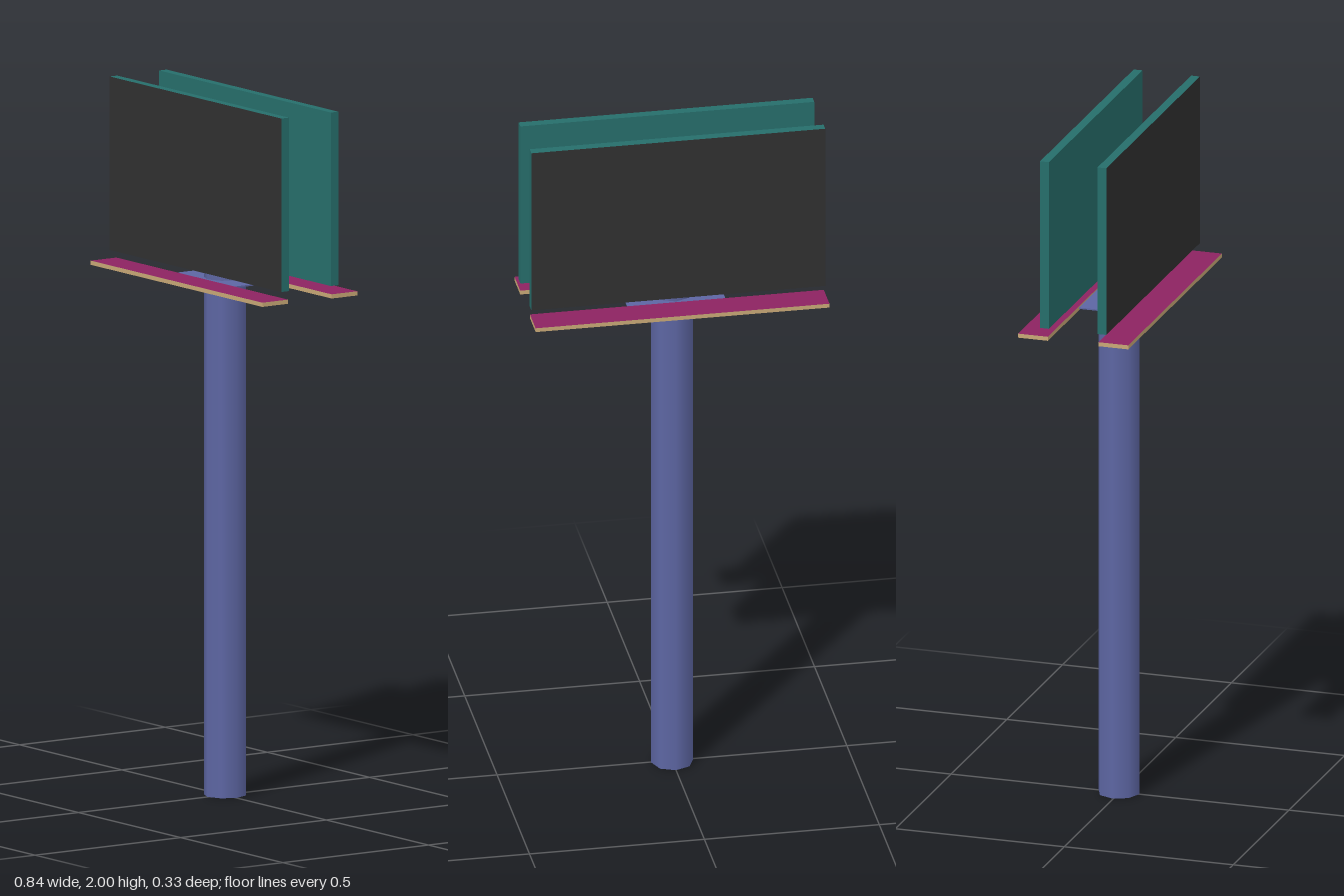
import * as THREE from 'three';

const mat = (name, color, side = THREE.FrontSide) => {
  const m = new THREE.MeshStandardMaterial({ color, side });
  m.name = name;
  return m;
};

export function createModel() {
  const steel = mat('blueSteel', 0x5d66a3, THREE.DoubleSide);
  const teal = mat('tealFrame', 0x266e6b);
  const black = mat('blackPanel', 0x303030);
  const magenta = mat('magentaDeck', 0x8d2361);
  const tan = mat('tanEdge', 0xc8a876);

  const model = new THREE.Group();
  model.name = 'billboard';

  const add = (parent, name, geometry, material, x, y, z) => {
    const mesh = new THREE.Mesh(geometry, material);
    mesh.name = name;
    mesh.position.set(x, y, z);
    parent.add(mesh);
    return mesh;
  };

  // Open eight-sided tube, set very slightly back
  add(model, 'pole', new THREE.CylinderGeometry(0.06, 0.06, 1.835, 8, 1, true),
    steel, 0, 0.9175, -0.003);

  // Thin plate joining the two walkways
  add(model, 'platform', new THREE.BoxGeometry(0.28, 0.004, 0.15), steel, 0, 1.475, 0);

  // Front and back sides are the same, turned half way round
  for (const [name, turn] of [['front', 0], ['back', Math.PI]]) {
    const side = new THREE.Group();
    side.name = name + 'Side';
    side.rotation.y = turn;
    model.add(side);

    // Teal board with a black outer face
    add(side, name + 'Board', new THREE.BoxGeometry(0.84, 0.495, 0.026),
      [teal, teal, teal, teal, black, teal], 0, 1.7525, 0.085);

    // Magenta deck with tan edges
    add(side, name + 'Walkway', new THREE.BoxGeometry(0.84, 0.012, 0.088),
      [tan, tan, magenta, magenta, tan, tan], 0, 1.475, 0.119);
  }

  return model;
}
